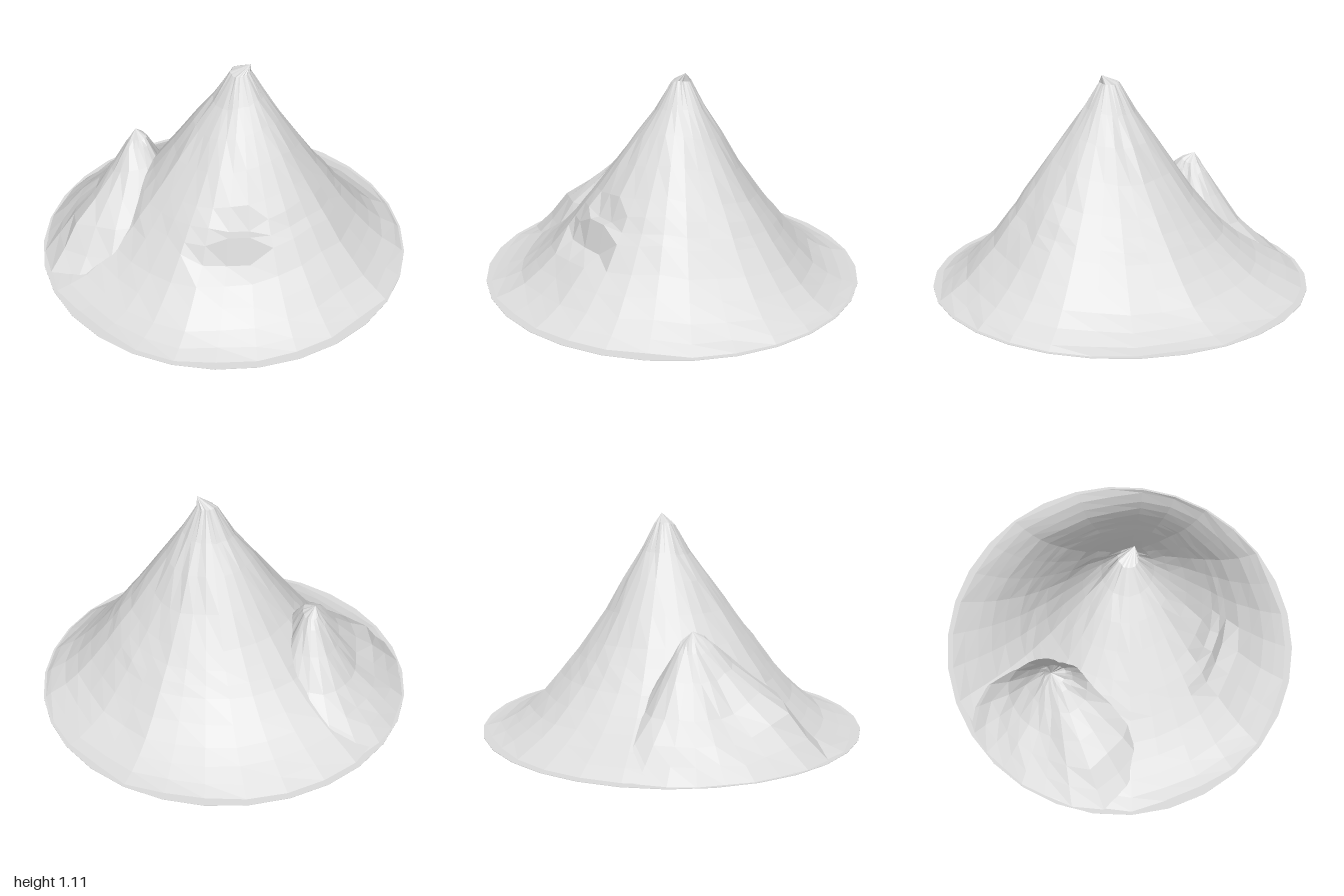
import * as THREE from 'three';

// Small seeded noise in the range -1..1
function makeNoise(seed) {
  let s = seed;
  return () => {
    s = (s * 16807) % 2147483647;
    return (s / 2147483647) * 2 - 1;
  };
}

// Blend between values spread evenly around a full turn
function around(values, turn) {
  const f = (((turn % 1) + 1) % 1) * values.length;
  const i = Math.floor(f) % values.length;
  return THREE.MathUtils.lerp(values[i], values[(i + 1) % values.length], f - Math.floor(f));
}

// Faceted cone skin: a peak, then rings of points given by point(ring, turn)
function slopes(peak, rings, sides, point) {
  const pos = [...peak];
  const index = [];
  const at = (i, j) => 1 + i * sides + (j % sides);
  for (let i = 0; i < rings; i++) {
    for (let j = 0; j < sides; j++) {
      pos.push(...point(i, j / sides));
      if (i === 0) index.push(0, at(0, j + 1), at(0, j));
      else {
        const a = at(i - 1, j), b = at(i - 1, j + 1), c = at(i, j), d = at(i, j + 1);
        index.push(a, b, c, b, d, c);
      }
    }
  }
  const geo = new THREE.BufferGeometry();
  geo.setAttribute('position', new THREE.Float32BufferAttribute(pos, 3));
  geo.setIndex(index);
  const flat = geo.toNonIndexed();
  flat.computeVertexNormals();
  return flat;
}

// Main mountain: ring spread, then heights on the right, front, left and back
const SPREAD = [0.05, 0.13, 0.22, 0.32, 0.42, 0.48, 0.53, 0.57, 0.66, 0.74, 0.82, 0.9, 0.97];
const HEIGHTS = [
  [1.07, 0.95, 0.84, 0.71, 0.575, 0.5, 0.43, 0.385, 0.27, 0.19, 0.11, 0.05, 0.01],
  [1.05, 0.9, 0.775, 0.63, 0.49, 0.41, 0.335, 0.28, 0.17, 0.095, 0.035, 0.01, 0],
  [1.07, 0.92, 0.79, 0.635, 0.48, 0.4, 0.34, 0.29, 0.21, 0.15, 0.1, 0.055, 0.01],
  [1.06, 0.92, 0.77, 0.605, 0.465, 0.39, 0.33, 0.28, 0.18, 0.095, 0.045, 0.01, 0],
];

function mainGeometry() {
  const noise = makeNoise(77);
  const gully = Array.from({ length: 30 }, () => 1 + 0.015 * noise());
  return slopes([0.11, 1.11, -0.08], SPREAD.length, 30, (i, turn) => {
    const t = SPREAD[i];
    const a = turn * Math.PI * 2;
    const deg = turn * 360;
    // Sharp ridge running down the back left
    const ridge = 1 + 0.07 * Math.max(0, 1 - Math.abs(deg - 312) / 40);
    const r = Math.min(0.985, t * ridge * around(gully, turn) + 0.004 * noise());
    let y = around(HEIGHTS.map((h) => h[i]), turn);
    if (i > 0) y = Math.max(0, y + 0.005 * noise() * (1 - t));
    // Rock ledge and the small shelf below it on the front left flank
    if (deg > 30 && deg < 50 && (t === 0.48 || t === 0.53)) y = 0.42;
    if (deg > 30 && deg < 62 && t === 0.57) y = 0.27;
    return [0.07 * (1 - t) + r * Math.cos(a), y, -0.055 * (1 - t) + r * Math.sin(a)];
  });
}

// Side peak: reach of its foot in each direction, and two slope profiles
const REACH = [0.5, 0.56, 0.65, 0.67, 0.55, 0.5, 0.52, 0.55, 0.5, 0.45, 0.37, 0.4];
const SPUR_T = [0.1, 0.16, 0.3, 0.5, 0.7, 0.85, 1];
const STEEP = [0.55, 0.5, 0.38, 0.23, 0.13, 0.065, 0];
const BULGING = [0.57, 0.54, 0.46, 0.37, 0.27, 0.13, 0];

function spurGeometry() {
  const noise = makeNoise(311);
  return slopes([-0.46, 0.6, 0.21], SPUR_T.length, 24, (i, turn) => {
    const a = turn * Math.PI * 2;
    const inner = i < SPUR_T.length - 1 ? 1 : 0;
    const r = SPUR_T[i] * around(REACH, turn) * (1 + 0.03 * noise() * inner);
    const w = Math.max(0, Math.cos(a - Math.PI / 5));
    const y = THREE.MathUtils.lerp(STEEP[i], BULGING[i], w) + 0.008 * noise() * inner;
    return [-0.44 + r * Math.cos(a), y, 0.2 + r * Math.sin(a)];
  });
}

export function createModel() {
  const group = new THREE.Group();
  group.name = 'mountain';

  const rock = new THREE.MeshStandardMaterial({ color: 0xdcdcdc });
  rock.name = 'grey rock';
  rock.flatShading = true;

  const add = (name, geometry) => {
    const mesh = new THREE.Mesh(geometry, rock);
    mesh.name = name;
    group.add(mesh);
  };

  add('mainPeak', mainGeometry());
  add('sidePeak', spurGeometry());

  // Flat round foot with thirty sides, one corner on the x axis
  const foot = new THREE.CylinderGeometry(1, 1, 0.002, 30);
  foot.rotateY(Math.PI / 2);
  foot.translate(0, 0.001, 0);
  add('base', foot);

  return group;
}
